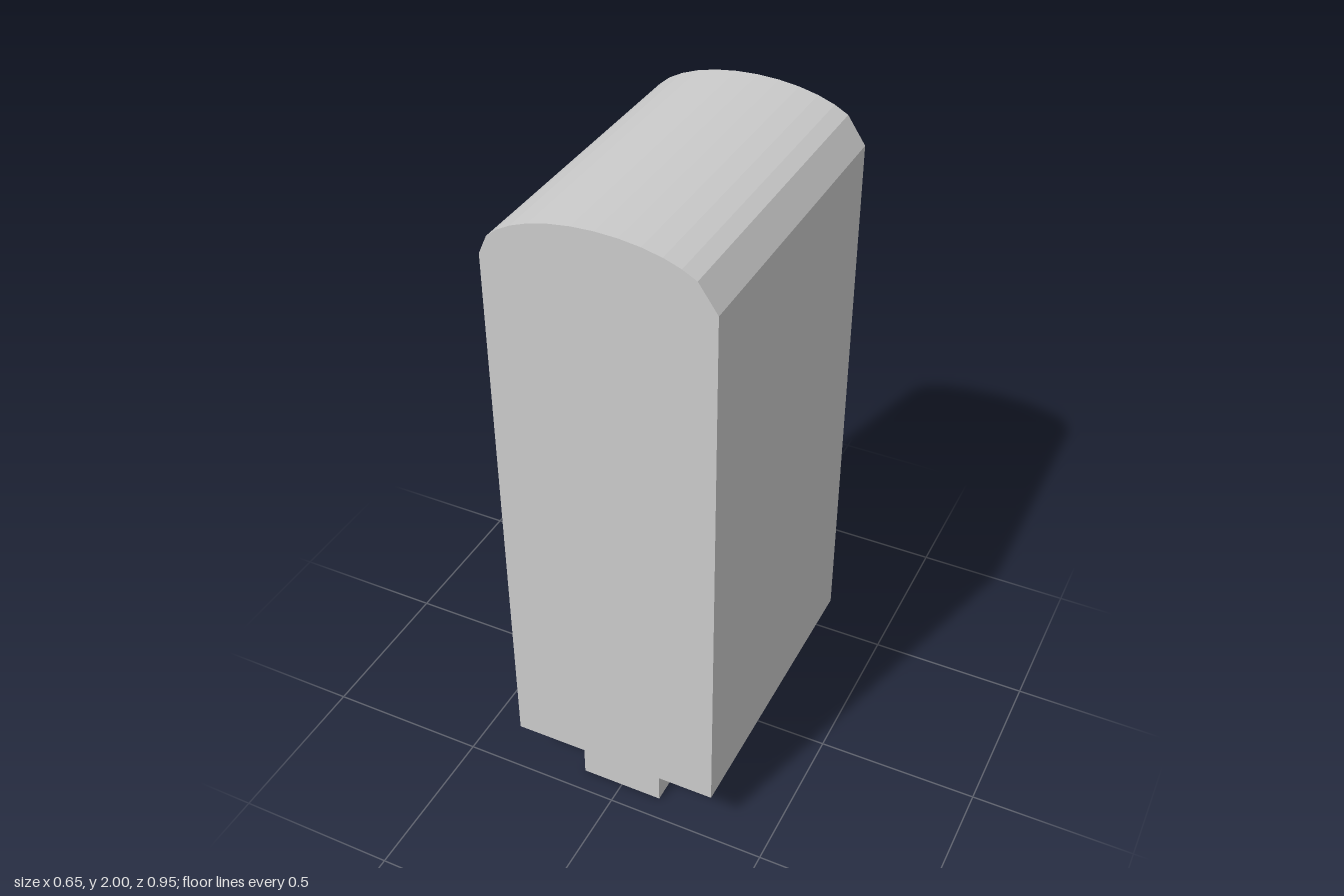
import * as THREE from 'three';

const material = new THREE.MeshStandardMaterial({ color: 0xcccccc, flatShading: true });

function addMesh(group, name, geometry) {
  const mesh = new THREE.Mesh(geometry, material);
  mesh.name = name;
  group.add(mesh);
  return mesh;
}

export function createModel() {
  const group = new THREE.Group();
  group.name = 'domedBlock';

  const halfWidth = 0.327, depth = 0.954;
  const bottom = 0.155, shoulder = 1.855, domeHeight = 0.145;

  // Body: straight sides under a faceted elliptical crown,
  // with a wide chamfer on the left and a narrow one on the right
  const profile = new THREE.Shape();
  profile.moveTo(-halfWidth, bottom);
  profile.lineTo(halfWidth, bottom);
  profile.lineTo(halfWidth, shoulder);
  const step = Math.PI / 16;
  for (let i = 3; i <= 14; i++) {
    profile.lineTo(
      halfWidth * Math.cos(i * step),
      shoulder + domeHeight * Math.sin(i * step)
    );
  }
  profile.lineTo(-halfWidth, shoulder);
  profile.closePath();

  const body = new THREE.ExtrudeGeometry(profile, { depth, bevelEnabled: false });
  body.translate(0, 0, -depth / 2);
  addMesh(group, 'body', body);

  // Foot: narrow plinth under the body
  const foot = addMesh(group, 'foot', new THREE.BoxGeometry(0.26, bottom, 0.86));
  foot.position.y = bottom / 2;

  return group;
}
